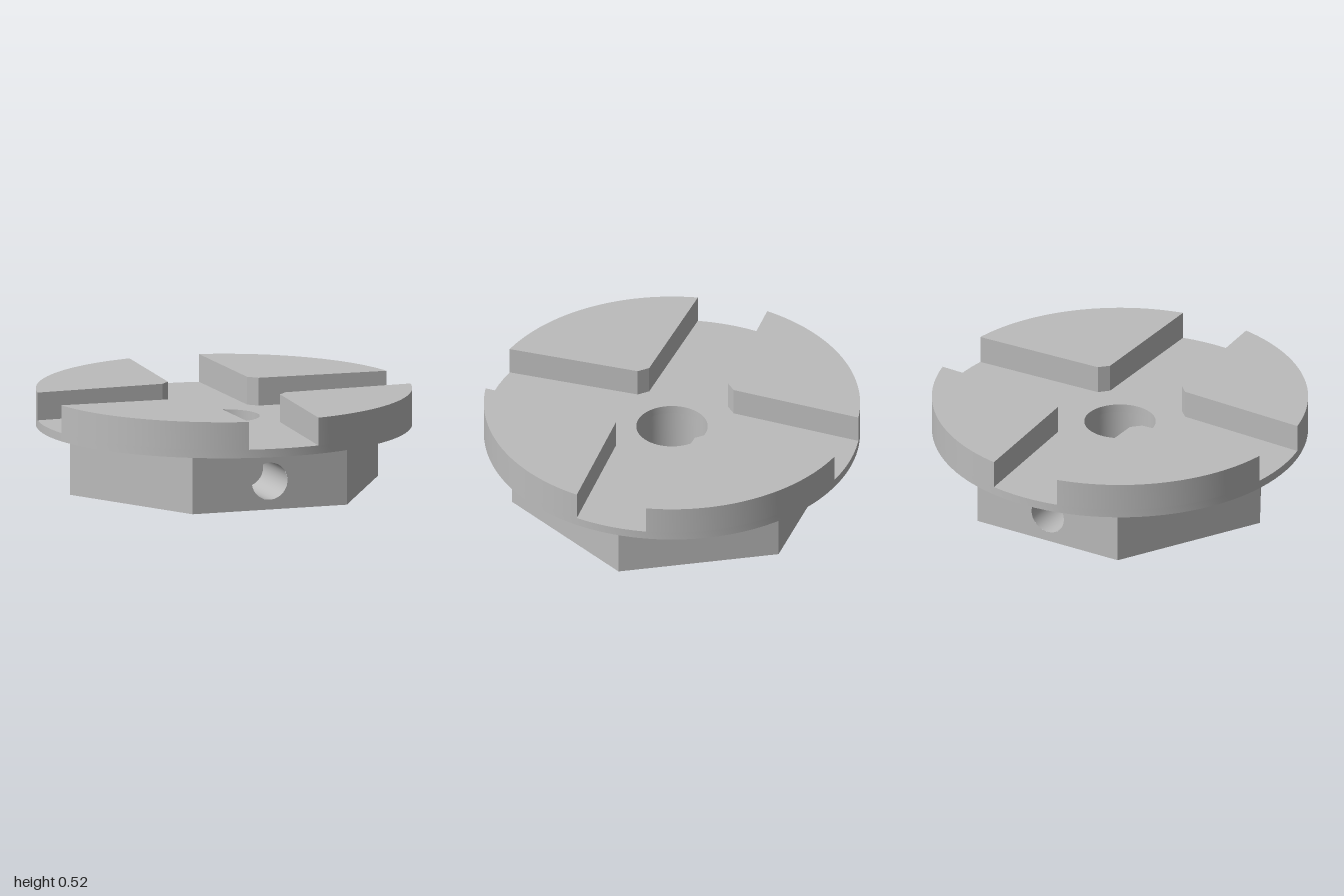
import * as THREE from 'three';
import { toCreasedNormals } from 'three/addons/utils/BufferGeometryUtils.js';

const APOTHEM = 0.75;                       // hex flat distance from centre
const SIDE = (2 * APOTHEM) / Math.sqrt(3);  // hex side length and corner radius
const BORE = 0.19;
const FLANGE_Y = 0.33, SLOT_Y = 0.375, TOP_Y = 0.525;
const SOCKET_R = 0.1, SOCKET_Y = 0.153, SOCKET_DEPTH = 0.4;

const circleHole = (x, y, r) => new THREE.Path().absarc(x, y, r, 0, Math.PI * 2, true);

// Extrude a plan shape upwards, smooth around curves and sharp at corners
function slab(shape, y, height) {
  const g = new THREE.ExtrudeGeometry(shape, { depth: height, bevelEnabled: false, curveSegments: 48 });
  g.rotateX(-Math.PI / 2).translate(0, y, 0);
  return toCreasedNormals(g, 0.5);
}

function lathe(points, segments) {
  const g = new THREE.LatheGeometry(points.map(([r, y]) => new THREE.Vector2(r, y)), segments);
  return toCreasedNormals(g, 0.5);
}

export function createModel() {
  const model = new THREE.Group();
  model.name = 'slottedHexHub';
  const metal = new THREE.MeshStandardMaterial({ color: 0xbcbcbc });
  metal.name = 'plain grey';

  const add = (name, geometry, parent = model) => {
    const mesh = new THREE.Mesh(geometry, metal);
    mesh.name = name;
    parent.add(mesh);
    return mesh;
  };

  // Hexagonal base: six walls, with a round blind socket in front and back
  const base = new THREE.Group();
  base.name = 'hexBase';
  model.add(base);
  for (let i = 0; i < 6; i++) {
    const h = SIDE / 2;
    const wall = new THREE.Shape([
      new THREE.Vector2(-h, 0), new THREE.Vector2(h, 0),
      new THREE.Vector2(h, FLANGE_Y), new THREE.Vector2(-h, FLANGE_Y),
    ]);
    const side = new THREE.Group();
    side.name = 'hexSide';
    side.rotation.y = (i * Math.PI) / 3;
    base.add(side);
    if (i % 3 === 0) {
      wall.holes.push(circleHole(0, SOCKET_Y, SOCKET_R));
      const socket = lathe([[SOCKET_R, 0], [SOCKET_R, -SOCKET_DEPTH], [0, -SOCKET_DEPTH]], 32);
      socket.rotateX(Math.PI / 2).translate(0, SOCKET_Y, APOTHEM);
      add('sideSocket', socket, side);
    }
    add('hexWall', new THREE.ShapeGeometry(wall, 32).translate(0, 0, APOTHEM), side);
  }

  // Underside with the bore opening
  const hex = new THREE.Shape(Array.from({ length: 6 }, (_, i) =>
    new THREE.Vector2(SIDE * Math.cos(i * Math.PI / 3), SIDE * Math.sin(i * Math.PI / 3))));
  hex.holes.push(circleHole(0, 0, BORE));
  add('underside', new THREE.ShapeGeometry(hex, 48).rotateX(Math.PI / 2), base);

  // Bore wall through the base
  add('bore', lathe([[BORE, FLANGE_Y], [BORE, 0]], 96), base);

  // Thin round flange forming the floor of the cross slots
  const disc = new THREE.Shape().absarc(0, 0, 1, 0, Math.PI * 2, false);
  disc.holes.push(circleHole(0, 0, BORE));
  add('flange', slab(disc, FLANGE_Y, SLOT_Y - FLANGE_Y));

  // Four raised quadrant pads with slightly tapered sides and a clipped inner corner
  const a = Math.asin(0.195);
  const pad = new THREE.Shape();
  pad.moveTo(0.27, 0.222);
  pad.lineTo(Math.cos(a), Math.sin(a));
  pad.absarc(0, 0, 1, a, Math.PI / 2 - a, false);
  pad.lineTo(0.222, 0.27);
  pad.closePath();
  const padGeometry = slab(pad, SLOT_Y, TOP_Y - SLOT_Y);
  for (let i = 0; i < 4; i++) {
    add('raisedPad', padGeometry).rotation.y = (i * Math.PI) / 2;
  }

  return model;
}
